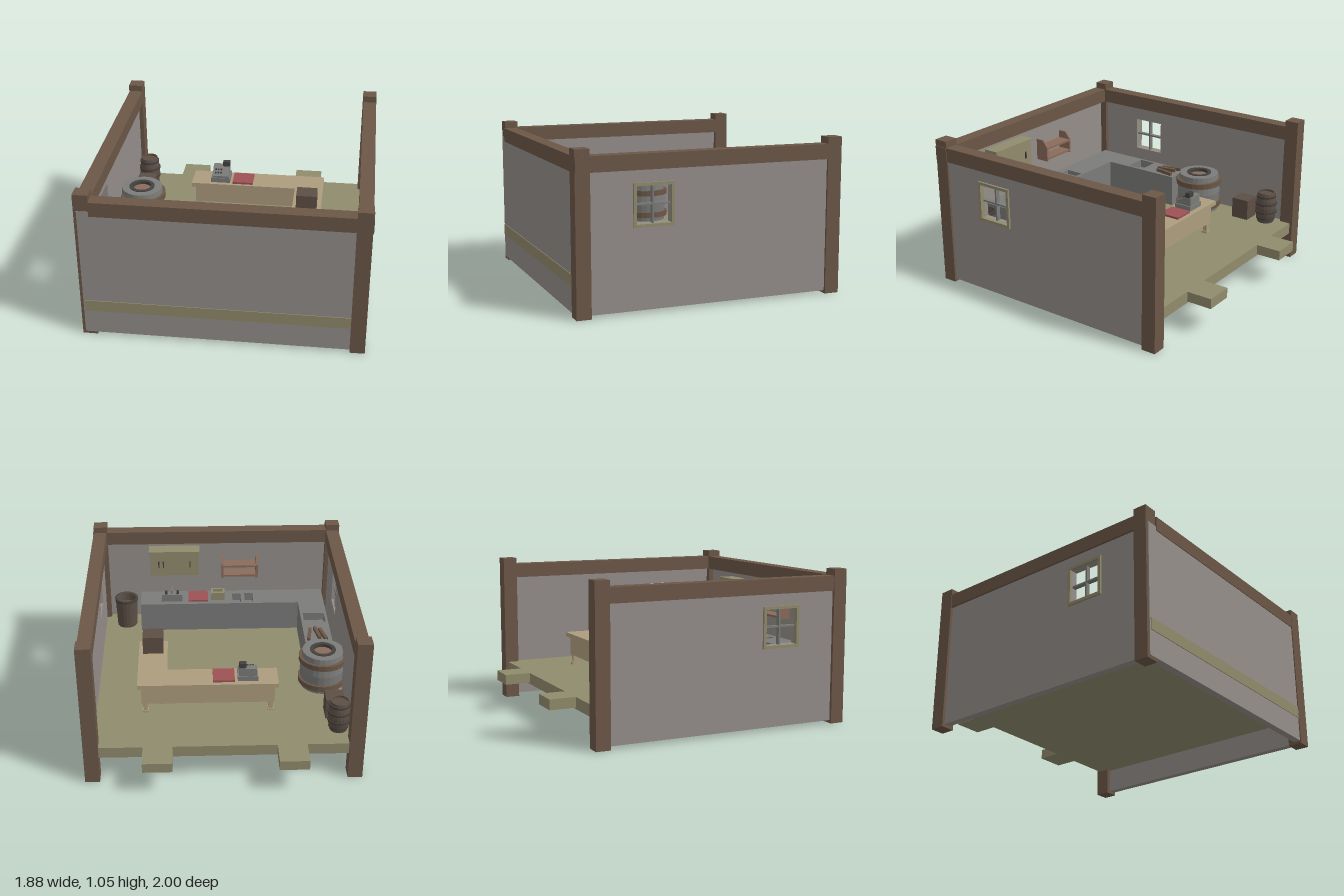
import * as THREE from 'three';

const mat = (color) => new THREE.MeshStandardMaterial({ color, flatShading: true, side: THREE.DoubleSide });
const BROWN = mat(0x6b5747), WALL = mat(0x948e8a), OLIVE = mat(0x908b6c), TAN = mat(0xae9d7e);
const GREY = mat(0x7b7b7a), RED = mat(0x9c5254), DARK = mat(0x444240), WOOD = mat(0x5d4f45), SHELF = mat(0x8a6b5a);

export function createModel() {
  const root = new THREE.Group();

  const add = (name, geo, m, parent = root) => {
    const mesh = new THREE.Mesh(geo, m);
    mesh.name = name;
    parent.add(mesh);
    return mesh;
  };
  const group = (name) => {
    const g = new THREE.Group();
    g.name = name;
    root.add(g);
    return g;
  };
  // box given by its min and max on each axis
  const box = (name, m, x0, x1, y0, y1, z0, z1, parent) => {
    const b = add(name, new THREE.BoxGeometry(x1 - x0, y1 - y0, z1 - z0), m, parent);
    b.position.set((x0 + x1) / 2, (y0 + y1) / 2, (z0 + z1) / 2);
    return b;
  };
  const vec = (pts) => pts.map(([a, b]) => new THREE.Vector2(a, b));
  const rect = (a0, a1, b0, b1) => [[a0, b0], [a1, b0], [a1, b1], [a0, b1]];
  // upright prism from a floor plan of [x, z] points
  const slab = (name, m, plan, y0, y1, parent, holes = []) => {
    const flip = (pts) => vec(pts.map(([x, z]) => [x, -z]));
    const shape = new THREE.Shape(flip(plan));
    for (const h of holes) shape.holes.push(new THREE.Path(flip(h)));
    const geo = new THREE.ExtrudeGeometry(shape, { depth: y1 - y0, bevelEnabled: false });
    geo.rotateX(-Math.PI / 2).translate(0, y0, 0);
    return add(name, geo, m, parent);
  };
  // prism along x from a side profile of [z, y] points
  const sideProfile = (name, m, pts, x0, x1, parent, holes = []) => {
    const flip = (p) => vec(p.map(([z, y]) => [-z, y]));
    const shape = new THREE.Shape(flip(pts));
    for (const h of holes) shape.holes.push(new THREE.Path(flip(h)));
    const geo = new THREE.ExtrudeGeometry(shape, { depth: x1 - x0, bevelEnabled: false });
    geo.rotateY(Math.PI / 2).translate(x0, 0, 0);
    return add(name, geo, m, parent);
  };
  const lathe = (name, m, pts, x, y, z, parent, sides = 20) => {
    const l = add(name, new THREE.LatheGeometry(vec(pts), sides), m, parent);
    l.position.set(x, y, z);
    return l;
  };

  // floor with two step tabs at the back
  const F = 0.27;
  box('floor', OLIVE, -0.91, 0.91, 0.19, F, -0.82, 0.995);
  for (const x of [-0.56, 0.34]) box('floorTab', OLIVE, x, x + 0.2, 0.2, F, -1, -0.82);

  // front wall
  box('frontWall', WALL, -0.92, 0.86, 0.02, 0.94, 0.94, 0.99);
  box('frontBeam', BROWN, -0.84, 0.94, 0.91, 1.01, 0.9, 0.995);

  // side walls with windows, beams and posts
  for (const s of [-1, 1]) {
    const x0 = s > 0 ? 0.87 : -0.92, x1 = x0 + 0.05;
    const b0 = s > 0 ? 0.84 : -0.935, b1 = b0 + 0.095;
    sideProfile('sideWall', WALL, rect(-0.76, 0.94, 0.02, 0.95), x0, x1, root, [rect(0.37, 0.6, 0.57, 0.81)]);
    box('sideBeam', BROWN, b0, b1, 0.91, 1.01, -0.75, 0.9);
    const p0 = s > 0 ? 0.835 : -0.94;
    box('backPost', BROWN, p0, p0 + 0.1, 0, 1.055, -0.84, -0.74);
    const fz = s > 0 ? 0.9 : 0.89;
    box('frontPost', BROWN, p0, p0 + 0.1, 0, 1.055, fz, fz + (s > 0 ? 0.097 : 0.095));
    const win = group('window');
    const o0 = s > 0 ? 0.9 : -0.935;
    sideProfile('windowFrame', OLIVE, rect(0.35, 0.62, 0.55, 0.83), o0, o0 + 0.035, win, [rect(0.37, 0.6, 0.57, 0.81)]);
    box('verticalBar', GREY, x0 + 0.01, x1 - 0.01, 0.57, 0.81, 0.478, 0.49, win);
    box('crossBar', GREY, x0 + 0.01, x1 - 0.01, 0.685, 0.697, 0.37, 0.6, win);
  }

  // L-shaped desk
  const desk = group('desk');
  const deskPlan = (i) => [[-0.39 + i, -0.45 + i], [0.58 - i, -0.45 + i], [0.58 - i, 0.13 - i],
    [0.375 + i, 0.13 - i], [0.375 + i, -0.25 - i], [-0.39 + i, -0.25 - i]];
  slab('deskTop', TAN, deskPlan(0), 0.48, 0.51, desk);
  slab('deskApron', TAN, deskPlan(0.025), 0.345, 0.48, desk);
  for (const [x, z] of [[-0.34, -0.4], [-0.34, -0.3], [0.53, -0.4], [0.42, 0.08], [0.53, 0.08], [0.42, -0.3]]) {
    box('deskLeg', TAN, x - 0.015, x + 0.015, F, 0.35, z - 0.015, z + 0.015, desk);
    box('deskFoot', TAN, x - 0.022, x + 0.022, F, 0.285, z - 0.022, z + 0.022, desk);
  }
  box('deskBox', WOOD, 0.405, 0.55, 0.51, 0.64, -0.04, 0.09);
  box('redBook', RED, -0.09, 0.06, 0.51, 0.525, -0.42, -0.27);

  // cash register
  const reg = group('register');
  box('drawer', GREY, -0.25, -0.11, 0.51, 0.545, -0.41, -0.28, reg);
  sideProfile('registerBody', GREY, [[-0.405, 0.545], [-0.285, 0.545], [-0.285, 0.56], [-0.36, 0.605], [-0.405, 0.605]], -0.24, -0.12, reg);
  box('display', DARK, -0.17, -0.12, 0.605, 0.64, -0.395, -0.36, reg);
  for (let i = 0; i < 3; i++) for (let j = 0; j < 2; j++) {
    const z = -0.335 + j * 0.025, y = 0.59 - j * 0.015;
    box('key', DARK, -0.225 + i * 0.02, -0.213 + i * 0.02, y - 0.01, y + 0.005, z - 0.006, z + 0.006, reg);
  }

  // L-shaped kitchen counter with sunken basins
  const counter = group('counter');
  const plan = [[-0.825, 0.09], [-0.625, 0.09], [-0.625, 0.685], [0.59, 0.685], [0.59, 0.89], [-0.825, 0.89]];
  const basins = [rect(-0.28, -0.215, 0.705, 0.84), rect(-0.185, -0.12, 0.705, 0.84),
    rect(0.27, 0.43, 0.705, 0.83), rect(-0.805, -0.645, 0.385, 0.515)];
  slab('counterBody', GREY, plan, F, 0.44, counter);
  slab('counterTop', GREY, plan, 0.44, 0.5, counter, basins);
  const spout = new THREE.CatmullRomCurve3([[0.35, 0.5, 0.86], [0.35, 0.55, 0.86], [0.35, 0.565, 0.84], [0.35, 0.55, 0.81]]
    .map((p) => new THREE.Vector3(...p)));
  add('faucet', new THREE.TubeGeometry(spout, 10, 0.008, 8), GREY, counter);
  for (const x of [0.305, 0.395]) box('tap', DARK, x - 0.01, x + 0.01, 0.5, 0.525, 0.84, 0.86, counter);

  // things on the counter
  box('redBoard', RED, 0.07, 0.22, 0.5, 0.512, 0.72, 0.87);
  const crate = group('crate');
  slab('crateWalls', OLIVE, rect(-0.06, 0.045, 0.74, 0.825), 0.5, 0.56, crate, [rect(-0.045, 0.03, 0.755, 0.81)]);
  box('crateBottom', OLIVE, -0.05, 0.035, 0.5, 0.535, 0.75, 0.815, crate);
  for (const [xa, za, xb, zb] of [[-0.78, 0.12, -0.745, 0.26], [-0.735, 0.14, -0.71, 0.28], [-0.65, 0.12, -0.675, 0.26]]) {
    const stick = add('stick', new THREE.BoxGeometry(0.024, 0.024, 0.145), BROWN);
    stick.position.set((xa + xb) / 2, 0.512, (za + zb) / 2);
    stick.rotation.y = Math.atan2(xb - xa, zb - za);
  }

  // wall cabinet
  const cabinet = group('wallCabinet');
  box('cabinetBody', OLIVE, 0.14, 0.51, 0.67, 0.86, 0.84, 0.94, cabinet);
  box('cabinetTop', OLIVE, 0.13, 0.52, 0.855, 0.875, 0.83, 0.94, cabinet);
  for (const x of [0.2, 0.405, 0.44]) box('cabinetHandle', DARK, x, x + 0.01, 0.74, 0.79, 0.83, 0.84, cabinet);

  // wall shelf
  const shelf = group('wallShelf');
  for (const y of [0.65, 0.73]) box('shelfBoard', SHELF, -0.32, -0.04, y, y + 0.015, 0.84, 0.94, shelf);
  for (const x of [-0.32, -0.055]) {
    sideProfile('shelfEnd', SHELF, [[0.84, 0.64], [0.94, 0.64], [0.94, 0.8], [0.88, 0.8], [0.84, 0.75]], x, x + 0.015, shelf);
  }

  // round stove with wooden hoops
  const stove = group('stove'), sx = -0.73, sz = -0.085;
  lathe('stoveBody', GREY, [[0, 0], [0.15, 0], [0.16, 0.14], [0.145, 0.28], [0.09, 0.28], [0.09, 0.24], [0, 0.24]], sx, F, sz, stove, 24);
  for (const y of [0.03, 0.2]) {
    lathe('stoveHoop', BROWN, [[0.14, y], [0.17, y], [0.17, y + 0.04], [0.14, y + 0.04]], sx, F, sz, stove, 24);
  }
  lathe('stoveRing', DARK, [[0.065, 0.24], [0.065, 0.285], [0.092, 0.285], [0.092, 0.24]], sx, F, sz, stove, 24);
  lathe('stoveCore', SHELF, [[0.066, 0.262], [0, 0.262]], sx, F, sz, stove, 24);

  // bulged barrel with hoops
  const barrel = group('barrel'), bx = -0.785, bz = -0.645;
  lathe('barrelBody', WOOD, [[0, 0], [0.06, 0], [0.073, 0.06], [0.077, 0.115], [0.073, 0.17], [0.062, 0.23], [0.054, 0.23], [0.054, 0.215], [0, 0.215]], bx, F, bz, barrel);
  for (const [y, r] of [[0.025, 0.07], [0.075, 0.08], [0.14, 0.08], [0.195, 0.072]]) {
    lathe('barrelHoop', DARK, [[r - 0.015, y], [r, y], [r, y + 0.015], [r - 0.015, y + 0.015]], bx, F, bz, barrel);
  }

  // open tub in the front corner
  lathe('tub', WOOD, [[0, 0], [0.075, 0], [0.085, 0.23], [0.075, 0.23], [0.07, 0.17], [0, 0.17]], 0.705, F, 0.8);
  lathe('tubRim', DARK, [[0.075, 0.215], [0.088, 0.215], [0.088, 0.235], [0.075, 0.235]], 0.705, F, 0.8);

  // wooden box beside the barrel
  box('woodenBox', WOOD, -0.84, -0.71, F, 0.42, -0.53, -0.4);

  return root;
}
